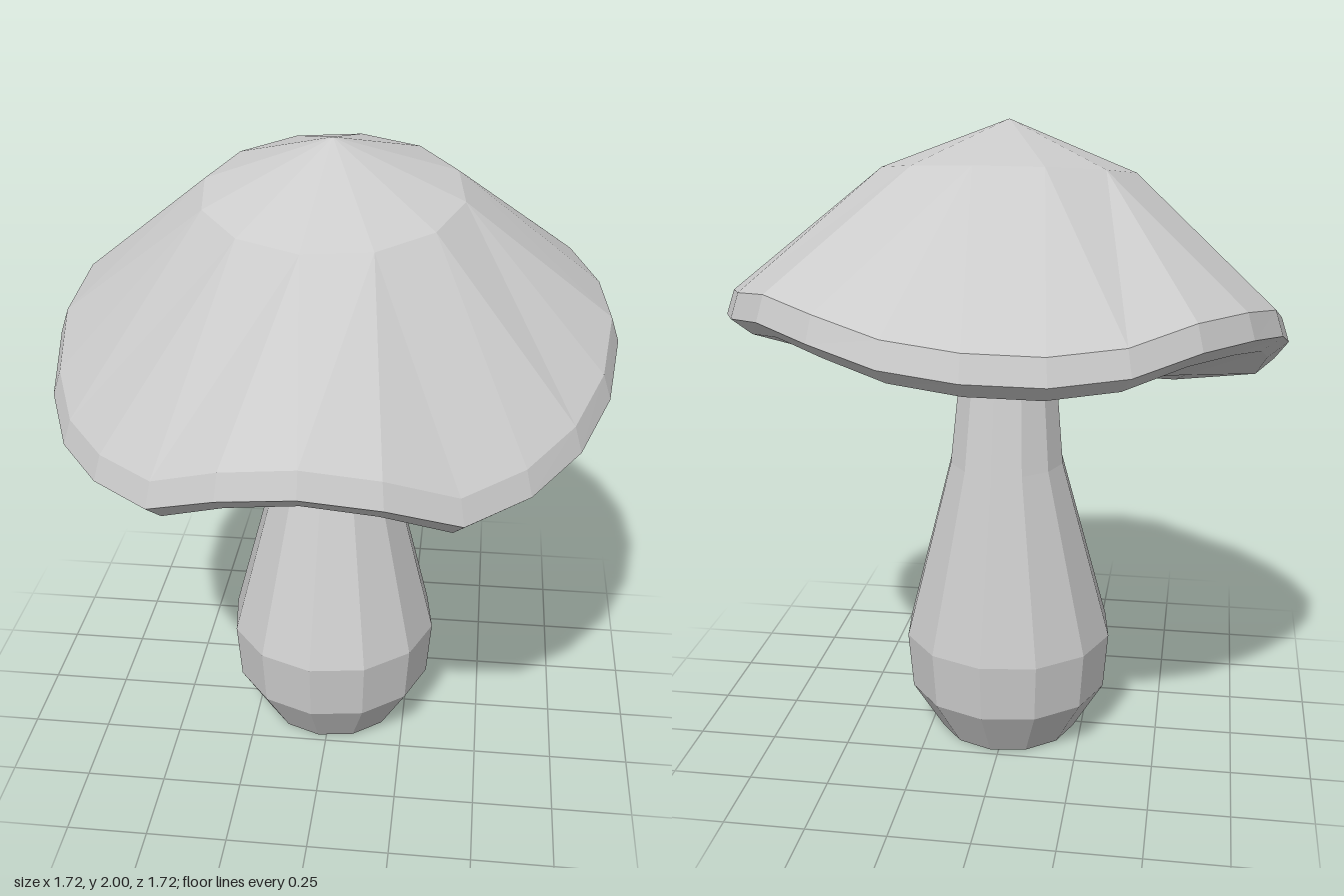
import * as THREE from 'three';

const RAD = Math.PI / 180;

// Point at angle deg, measured from the front (+z) towards +x
const polar = (deg, r, y, cx = 0, cz = 0) =>
  new THREE.Vector3(cx + r * Math.sin(deg * RAD), y, cz + r * Math.cos(deg * RAD));

// Skins a sequence of equally long rings, skipping collapsed triangles
function loft(rings, name) {
  const pos = [];
  const tri = (a, b, c) => {
    if (a.distanceTo(b) < 1e-5 || b.distanceTo(c) < 1e-5 || a.distanceTo(c) < 1e-5) return;
    for (const p of [a, b, c]) pos.push(p.x, p.y, p.z);
  };
  for (let k = 0; k < rings.length - 1; k++) {
    const a = rings[k], b = rings[k + 1], n = a.length;
    for (let i = 0; i < n; i++) {
      const j = (i + 1) % n;
      tri(a[i], a[j], b[j]);
      tri(a[i], b[j], b[i]);
    }
  }
  const geo = new THREE.BufferGeometry();
  geo.setAttribute('position', new THREE.Float32BufferAttribute(pos, 3));
  geo.computeVertexNormals();
  const mesh = new THREE.Mesh(geo, new THREE.MeshStandardMaterial({ color: 0xcccccc, flatShading: true }));
  mesh.name = name;
  return mesh;
}

// Height of the wavy rim every 15 degrees, from the front round by +x
const RIM = [
  1.285, 1.25, 1.165, 1.19, 1.24, 1.31, 1.40, 1.43, 1.465, 1.50, 1.48, 1.44,
  1.42, 1.41, 1.42, 1.46, 1.455, 1.42, 1.35, 1.24, 1.18, 1.165, 1.165, 1.25,
];

function makeCap() {
  const fine = (r, dy) => RIM.map((y, i) => polar(i * 15, r, y + dy));
  // 12-sided ring in 24 slots: neighbouring slots share a corner
  const coarse = (r, height, cz = 0) => RIM.map((_, i) => {
    const j = Math.floor((i + 1) / 2) % 12;
    const p = polar(-7 + 30 * j, r, 0, 0, cz);
    p.y = height(p.z, j);
    return p;
  });
  const point = (y, z) => RIM.map(() => new THREE.Vector3(0, y, z));
  const holeY = (z) => 1.225 - 0.16 * z;

  return loft([
    point(1.4, 0),
    coarse(0.18, (z) => holeY(z) + 0.13),                 // recess round the stem
    coarse(0.25, holeY),
    coarse(0.56, (z, j) => 0.5 * (RIM[2 * j] - 0.055 + holeY(z * 0.45)) - 0.01), // underside
    fine(0.8, -0.05),
    fine(0.86, 0),                                        // rim
    fine(0.835, 0.075),
    coarse(0.39, (z) => 1.848 - 0.16 * z, 0.02),          // crown
    point(2, 0.02),
  ], 'cap');
}

function makeStem() {
  // [radius, height, z offset]
  const sections = [
    [0, 0, 0], [0.225, 0, 0], [0.325, 0.165, 0], [0.34, 0.35, 0],
    [0.183, 0.945, -0.035], [0.155, 1.24, -0.005], [0.14, 1.42, 0.01], [0, 1.42, 0.01],
  ];
  return loft(sections.map(([r, y, z]) =>
    Array.from({ length: 12 }, (_, j) => polar(-7 + 30 * j, r, y, 0, z))), 'stem');
}

export function createModel() {
  const group = new THREE.Group();
  group.name = 'mushroom';
  group.add(makeStem(), makeCap());
  return group;
}
